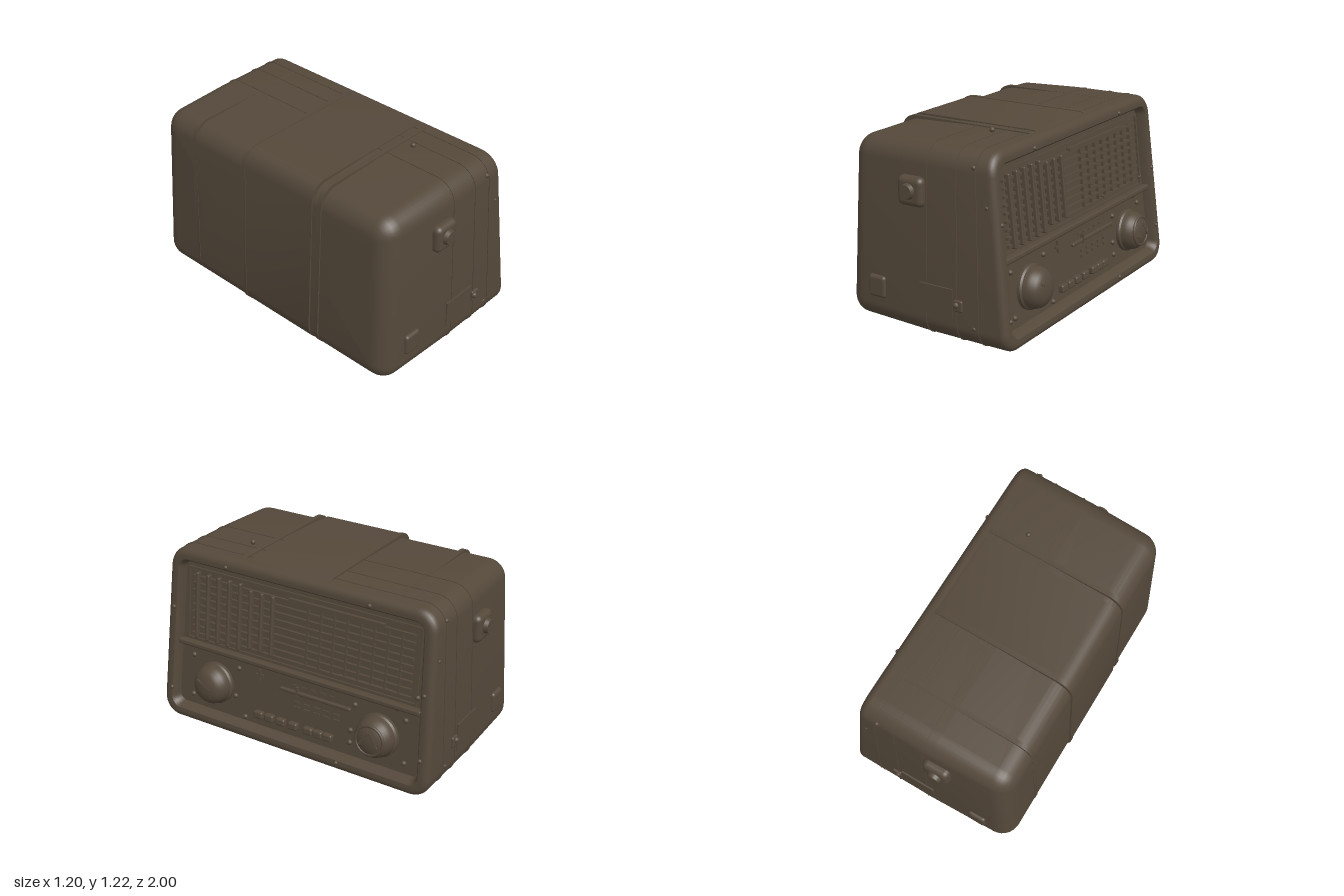
import * as THREE from 'three';
import { toCreasedNormals } from 'three/addons/utils/BufferGeometryUtils.js';
import { RoundedBoxGeometry } from 'three/addons/geometries/RoundedBoxGeometry.js';

const brown = new THREE.MeshStandardMaterial({ color: 0x54483a });
brown.name = 'dark brown';

const SLOPE = 0.113;
const xBack = (y) => -0.593 + 0.04 * (y - 0.06);
const xFront = (y) => 0.557 - SLOPE * (y - 0.06);
const sideZ = (y) => 0.97 - 0.042 * (y - 0.06);

function add(parent, name, geo, x = 0, y = 0, z = 0) {
  const mesh = new THREE.Mesh(geo, brown);
  mesh.name = name;
  mesh.position.set(x, y, z);
  parent.add(mesh);
  return mesh;
}

// Rounded rectangle loop as [u, y], anticlockwise seen from the front (+x)
function loop(inset) {
  const hy = 0.565 - inset, r = Math.max(0, 0.122 - inset * 0.8), pts = [];
  const radius = Math.min(r, hy);
  for (let c = 0; c < 4; c++) {
    const su = c === 0 || c === 3 ? 1 : -1, sy = c < 2 ? 1 : -1;
    for (let k = 0; k <= 8; k++) {
      const a = (c + k / 8) * Math.PI / 2;
      const y = 0.622 + sy * (hy - radius) + radius * Math.sin(a);
      pts.push([su * (sideZ(y) - inset - radius) + radius * Math.cos(a), y]);
    }
  }
  return pts;
}

// Shell skinned through loops: [along, offset, inset], along 0 = back, 1 = front
function skin(rings) {
  const pos = [], idx = [];
  rings.forEach(([t, dx, inset]) => {
    for (const [u, y] of loop(inset)) {
      pos.push(THREE.MathUtils.lerp(xBack(y), xFront(y), t) + dx, y, -u);
    }
  });
  const n = 36;
  for (let i = 0; i < rings.length - 1; i++) {
    for (let j = 0; j < n; j++) {
      const a = i * n + j, b = i * n + (j + 1) % n;
      idx.push(a, b, b + n, a, b + n, a + n);
    }
  }
  const geo = new THREE.BufferGeometry();
  geo.setAttribute('position', new THREE.Float32BufferAttribute(pos, 3));
  geo.setIndex(idx);
  return toCreasedNormals(geo, 0.7);
}

// Quarter round between a side and an end face: [distance from the face, inset]
function quarter(r, steps) {
  return Array.from({ length: steps + 1 }, (_, k) => {
    const a = k / steps * Math.PI / 2;
    return [r * (1 - Math.sin(a)), r * (1 - Math.cos(a))];
  });
}

function bodyRings() {
  return [
    [0, 0, 0.565],
    ...quarter(0.12, 7).reverse().map(([d, inset]) => [0, d, inset + 0.013]),
    [0.5, 0, 0],
    ...quarter(0.045, 5).map(([d, inset]) => [1, -d, inset]),
    // rim, then the sunken panel
    [1, -0.002, 0.068], [1, -0.02, 0.082], [1, -0.065, 0.09], [1, -0.065, 0.565],
  ];
}

// Slab whose edge stands slightly proud of the top and back
function strap(width, out) {
  const s = new THREE.Shape();
  const b = xBack(0.1) - out, t = xBack(1.1) - out, top = 1.187 + out;
  s.moveTo(0.25, 0.6);
  s.lineTo(0.25, 1.15);
  s.lineTo(0.38, 1.183);
  s.lineTo(0.34, top);
  s.lineTo(t + 0.11, top);
  s.quadraticCurveTo(t + 0.015, top, t, 1.08);
  s.lineTo(b, 0.2);
  s.quadraticCurveTo(b + 0.015, 0.065, b + 0.15, 0.062);
  s.lineTo(0.25, 0.058);
  return toCreasedNormals(new THREE.ExtrudeGeometry(s, { depth: width, bevelEnabled: false, curveSegments: 8 }), 0.6);
}

function createModel() {
  const model = new THREE.Group();
  model.name = 'tableRadio';
  add(model, 'cabinet', skin(bodyRings()));

  // Shallow seams round the cabinet
  for (const [t, x] of [[0.272, 0.28], [0.4, 0.347], [0.52, 0.358]]) {
    add(model, 'seamBand', skin([[t, x, 0.005], [t, x + 0.001, -0.004], [t, x + 0.006, -0.004], [t, x + 0.007, 0.005]]));
  }
  // Raised middle panel and ridges over the top and back
  add(model, 'middlePanel', strap(0.56, 0.007), 0, 0, -0.2);
  for (const [z, out] of [[-0.64, 0.001], [-0.205, 0.011], [0.4, 0.007]]) {
    add(model, 'ridge', strap(0.03, out), 0, 0, z);
  }
  add(model, 'topStud', new THREE.SphereGeometry(0.016, 10, 8), 0.15, 1.2, 0.5);

  // Feet
  for (const x of [-0.43, 0.42]) for (const z of [-0.67, 0.67]) {
    const foot = new THREE.CylinderGeometry(0.062, 0.042, 0.1, 4);
    foot.rotateY(Math.PI / 4);
    add(model, 'foot', toCreasedNormals(foot, 0.5), x, 0.05, z);
  }

  // Fittings on both ends
  for (const s of [1, -1]) {
    const end = new THREE.Group();
    end.name = s > 0 ? 'leftFittings' : 'rightFittings';
    model.add(end);
    add(end, 'badge', new RoundedBoxGeometry(0.175, 0.175, 0.08, 4, 0.035), -0.095, 0.91, s * 0.936);
    const stud = new THREE.CylinderGeometry(0.04, 0.05, 0.03, 24);
    stud.rotateX(s * Math.PI / 2);
    add(end, 'badgeStud', stud, -0.1, 0.915, s * 0.985);
    add(end, 'lowerBadge', new RoundedBoxGeometry(0.12, 0.135, 0.05, 3, 0.02), -0.355, 0.29, s * 0.945);
    add(end, 'sidePlate', new THREE.BoxGeometry(0.23, 0.18, 0.012), 0.07, 0.295, s * 0.96);
    add(end, 'latch', new RoundedBoxGeometry(0.06, 0.07, 0.03, 2, 0.01), 0.225, 0.295, s * 0.958);
    add(end, 'latchStud', new THREE.SphereGeometry(0.02, 12, 8), 0.215, 0.3, s * 0.968);
    for (const [x, y] of [[0.31, 1.1], [0.33, 0.18], [0.4, 0.89]]) {
      add(end, 'rivet', new THREE.SphereGeometry(0.014, 10, 8), x, y, s * (sideZ(y) - 0.007));
    }
  }

  // Sloping front: local x to the right, y up the slope, z outwards from the rim
  const front = new THREE.Group();
  front.name = 'frontPanel';
  front.rotation.order = 'YXZ';
  front.rotation.set(-Math.atan(SLOPE), Math.PI / 2, 0);
  front.position.set(xFront(0), 0, 0);
  model.add(front);
  const bar = (name, u, v, w, h, d, z) => add(front, name, new THREE.BoxGeometry(w, h, d), u, v, z);

  add(front, 'divider', new RoundedBoxGeometry(1.74, 0.035, 0.06, 2, 0.012), 0, 0.572, -0.05);
  bar('grilleFrameTop', 0, 1.065, 1.64, 0.015, 0.03, -0.067);
  bar('grilleFrameBottom', 0, 0.605, 1.64, 0.015, 0.03, -0.067);
  for (const u of [-0.815, 0.815]) bar('grilleFrameSide', u, 0.835, 0.015, 0.46, 0.03, -0.067);

  // Grille: horizontal rails, stout slats on one part, thin ones on the other
  for (let i = 0; i < 9; i++) {
    bar('rail', 0, 0.64 + i * 0.047, 1.56, 0.016, 0.03, -0.06);
  }
  for (let i = 0; i < 8; i++) {
    const tall = i < 5 ? 0.43 : 0.38;
    add(front, 'slat', new RoundedBoxGeometry(0.022, tall, 0.035, 2, 0.008), -0.735 + i * 0.08, 0.835, -0.043);
  }
  for (let i = 0; i < 8; i++) bar('thinSlat', 0.07 + i * 0.09, 0.83, 0.01, 0.39, 0.02, -0.055);
  bar('topTrim', 0.26, 1.03, 0.65, 0.02, 0.025, -0.05);
  bar('lowTrim', 0.48, 0.645, 0.37, 0.016, 0.025, -0.05);

  // Domed control knobs
  const knobProfile = [[0.135, -0.08], [0.135, -0.045], [0.126, -0.035], [0.124, -0.01], [0.116, 0.015],
    [0.1, 0.037], [0.075, 0.053], [0.04, 0.062], [0, 0.065]].map((p) => new THREE.Vector2(...p));
  for (const u of [-0.59, 0.59]) {
    const knob = toCreasedNormals(new THREE.LatheGeometry(knobProfile, 40), 0.6);
    knob.rotateX(Math.PI / 2);
    add(front, 'knob', knob, u, 0.35, 0);
  }
  const pointer = bar('pointer', -0.6, 0.365, 0.11, 0.012, 0.02, 0.057);
  pointer.rotation.z = -0.45;
  add(front, 'knobRing', new THREE.TorusGeometry(0.09, 0.01, 8, 32), 0.59, 0.35, 0.043);
  for (const s of [1, -1]) {
    const spoke = bar('spoke', 0.59 + s * 0.03, 0.36, 0.015, 0.1, 0.02, 0.055);
    spoke.rotation.z = s * 0.6;
  }

  // Tuning scale, dial marks, push buttons and a small cross
  add(front, 'tuningBar', new RoundedBoxGeometry(0.5, 0.022, 0.03, 2, 0.008), 0.145, 0.45, -0.06);
  bar('tuningNeedle', 0.02, 0.46, 0.012, 0.06, 0.03, -0.056);
  for (let i = 0; i < 5; i++) {
    bar('scaleMark', i * 0.065, 0.492, 0.035, 0.012, 0.015, -0.063);
    for (const v of [0.35, 0.385]) bar('dialMark', 0.02 + i * 0.07, v, 0.045, 0.016, 0.015, -0.063);
  }
  for (const u of [-0.25, -0.17, -0.085, 0.005, 0.115, 0.185, 0.255]) {
    add(front, 'pushButton', new RoundedBoxGeometry(0.066, 0.048, 0.05, 2, 0.012), u, 0.23, -0.057);
  }
  bar('crossBar', -0.26, 0.49, 0.06, 0.016, 0.02, -0.061);
  bar('crossPost', -0.26, 0.49, 0.016, 0.075, 0.02, -0.061);

  // Scattered rivets on the lower panel and rim
  const rivets = [[-0.77, 0.49], [-0.42, 0.49], [-0.77, 0.22], [-0.44, 0.3], [-0.36, 0.18], [0.42, 0.49],
    [0.76, 0.49], [0.4, 0.32], [0.4, 0.24], [0.77, 0.22], [0.7, 0.55], [0.82, 0.65]];
  for (const [u, v] of rivets) add(front, 'rivet', new THREE.SphereGeometry(0.017, 10, 8), u, v, -0.063);
  for (const [u, v] of [[-0.9, 0.25], [0.9, 0.3], [0.89, 0.7], [-0.89, 0.8], [0.5, 1.14], [-0.5, 1.14], [0.35, 0.11]]) {
    add(front, 'rimStud', new THREE.SphereGeometry(0.014, 10, 8), u, v, -0.003);
  }
  return model;
}

export { createModel };
